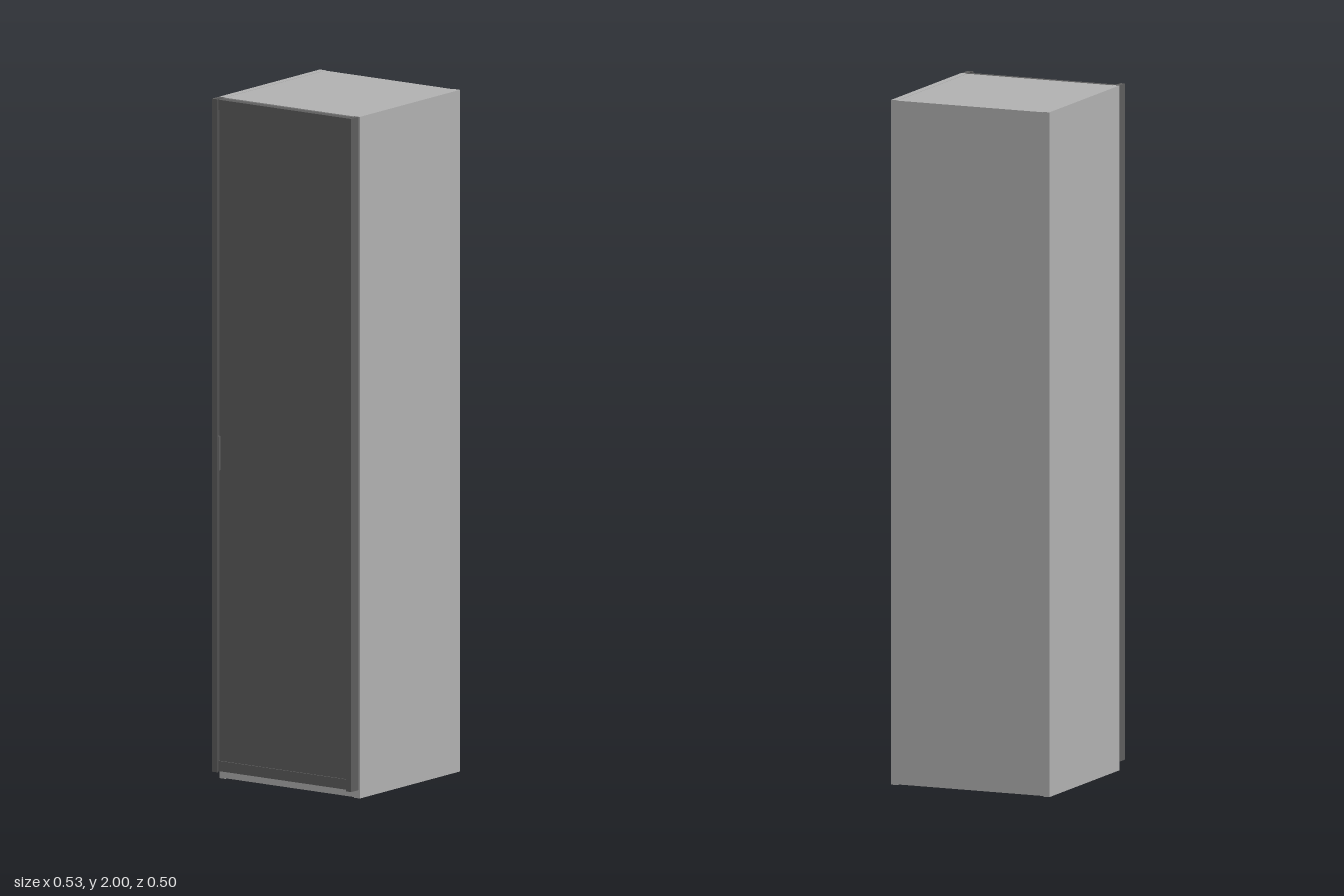
import * as THREE from 'three';

export function createModel() {
  const model = new THREE.Group();
  model.name = 'tallCabinet';
  const bodyGrey = new THREE.MeshStandardMaterial({ color: 0xb0b0b0 });
  bodyGrey.name = 'body grey';
  const doorGrey = new THREE.MeshStandardMaterial({ color: 0x5d5d5d });
  doorGrey.name = 'door dark grey';

  // Box given by its lower and upper corners
  function slab(parent, name, material, [x0, y0, z0], [x1, y1, z1]) {
    const mesh = new THREE.Mesh(new THREE.BoxGeometry(x1 - x0, y1 - y0, z1 - z0), material);
    mesh.position.set((x0 + x1) / 2, (y0 + y1) / 2, (z0 + z1) / 2);
    mesh.name = name;
    parent.add(mesh);
    return mesh;
  }

  // Carcass, open towards the door on -x
  const carcass = new THREE.Group();
  carcass.name = 'carcass';
  model.add(carcass);
  const front = -0.225, back = 0.262, inner = 0.23, outer = 0.25;
  slab(carcass, 'sidePanelFront', bodyGrey, [front, 0, inner], [back, 2, outer]);
  slab(carcass, 'sidePanelRear', bodyGrey, [front, 0, -outer], [back, 2, -inner]);
  slab(carcass, 'backPanel', bodyGrey, [0.247, 0.002, -inner], [back, 1.999, inner]);
  for (const [name, y0, y1] of [['bottom', 0.002, 0.022], ['top', 1.979, 1.999]]) {
    slab(carcass, name + 'Panel', bodyGrey, [-0.21, y0, -inner], [0.247, y1, inner]);
    slab(carcass, name + 'EdgeStrip', bodyGrey, [front, y0, -inner], [-0.21, y1, inner]);
  }

  // Door with horizontal rails and a slightly recessed infill
  const door = new THREE.Group();
  door.name = 'door';
  model.add(door);
  const low = 0.027, high = 1.997;
  slab(door, 'doorInfill', doorGrey, [-0.248, low + 0.03, -0.234], [-0.23, high - 0.03, 0.234]);
  slab(door, 'bottomRail', doorGrey, [-0.252, low, -0.234], [-0.228, low + 0.03, 0.234]);
  slab(door, 'topRail', doorGrey, [-0.252, high - 0.03, -0.234], [-0.228, high, 0.234]);

  // Upright edge profiles: a web along the outer side with a hooked lip
  function upright(name, side, edge, tip, lipDepth, lipWidth) {
    const points = [
      [-0.228, edge], [tip, edge], [tip, edge - lipDepth],
      [tip + lipWidth, edge - lipDepth], [tip + lipWidth, edge - 0.009],
      [-0.25, edge - 0.009], [-0.245, edge - 0.016], [-0.228, edge - 0.016],
    ];
    const shape = new THREE.Shape(points.map(([x, z]) => new THREE.Vector2(x, -side * z)));
    const geometry = new THREE.ExtrudeGeometry(shape, { depth: 2 - 0.025, bevelEnabled: false });
    geometry.rotateX(-Math.PI / 2);
    const mesh = new THREE.Mesh(geometry, doorGrey);
    mesh.position.y = 0.025;
    mesh.name = name;
    door.add(mesh);
  }
  upright('uprightRear', -1, 0.25, -0.262, 0.019, 0.003);
  upright('uprightFront', 1, 0.248, -0.264, 0.018, 0.006);

  // Small finger grip beside the rear upright
  slab(door, 'fingerGrip', doorGrey, [-0.258, 0.91, -0.238], [-0.246, 1.01, -0.23]);

  return model;
}
